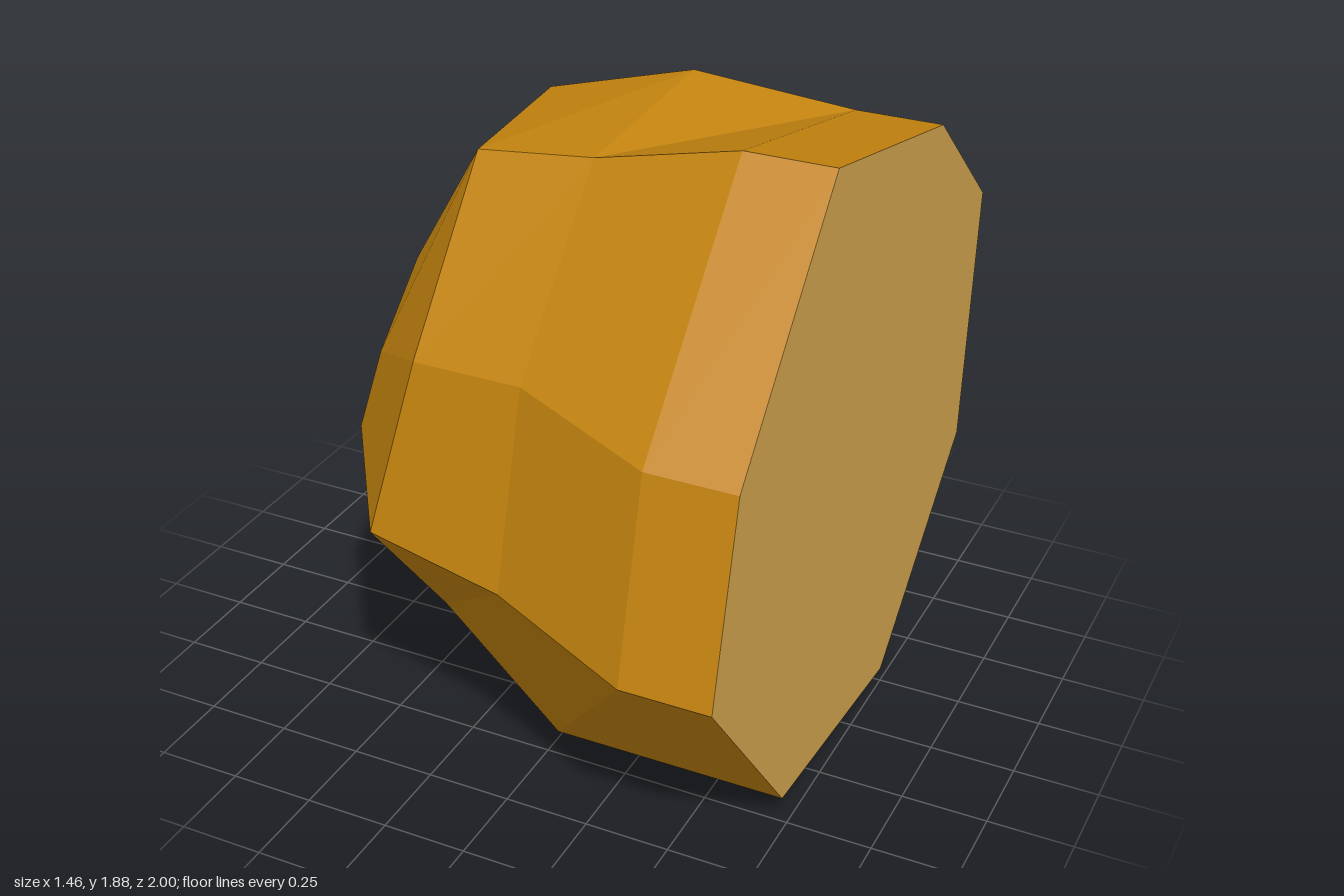
import * as THREE from 'three';

// Cross-sections from the flat cut face to the rounded end.
// Each outline is eight [z, y] points running top, front, bottom, back.
const cutOutline = [[0.28, 1.88], [0.86, 1.25], [1, 0.69], [0.49, 0.07], [-0.31, 0], [-0.93, 0.52], [-1, 1.32], [-0.55, 1.7]];
const innerOutline = cutOutline.map(([z, y], i) => (i === 4 ? [z, 0.06] : [z, y]));
const middleOutline = [[0.235, 1.765], [0.67, 1.29], [0.82, 0.74], [0.49, 0.07], [-0.31, 0], [-0.93, 0.52], [-1, 1.32], [-0.4, 1.8]];
const shoulderOutline = [[0.22, 1.72], [0.62, 1.26], [0.74, 0.77], [0.36, 0.31], [-0.24, 0.26], [-0.67, 0.65], [-0.74, 1.23], [-0.36, 1.69]];
const tipOutline = [[0.12, 1.3], [0.34, 1.1], [0.39, 0.87], [0.19, 0.63], [-0.11, 0.6], [-0.37, 0.81], [-0.4, 1.13], [-0.2, 1.37]];

// x is one number for a flat section, or one per point for an uneven one
const section = (outline, x) =>
  outline.map(([z, y], i) => new THREE.Vector3(Array.isArray(x) ? x[i] : x, y, z));

const sections = [
  section(cutOutline, 0.73),
  section(innerOutline, 0.47),
  section(middleOutline, 0.03),
  section(shoulderOutline, [-0.33, -0.32, -0.41, -0.41, -0.41, -0.41, -0.41, -0.41]),
  section(tipOutline, [-0.6, -0.6, -0.65, -0.73, -0.73, -0.73, -0.73, -0.65]),
];

// Triangle fan around the first point
function fan(points) {
  const out = [];
  for (let i = 1; i < points.length - 1; i++) out.push(points[0], points[i], points[i + 1]);
  return out;
}

// Unshared corners give faceted normals
function facetedMesh(name, points, material) {
  const geometry = new THREE.BufferGeometry().setFromPoints(points);
  geometry.computeVertexNormals();
  const mesh = new THREE.Mesh(geometry, material);
  mesh.name = name;
  return mesh;
}

export function createModel() {
  const amber = new THREE.MeshStandardMaterial({ color: 0xc4840f, flatShading: true });
  amber.name = 'amber';
  const paleTan = new THREE.MeshStandardMaterial({ color: 0xd2a44e, flatShading: true });
  paleTan.name = 'pale tan';

  // Faceted outer skin, lofted between neighbouring sections
  const skin = [];
  for (let r = 0; r < sections.length - 1; r++) {
    const a = sections[r], b = sections[r + 1];
    for (let i = 0; i < 8; i++) {
      const j = (i + 1) % 8;
      skin.push(a[i], b[i], b[j], a[i], b[j], a[j]);
    }
  }

  // Blunt end, fanned from its back upper corner
  const tip = sections[4];
  const tipLoop = Array.from({ length: 8 }, (_, k) => tip[(6 - k + 8) % 8]);

  const model = new THREE.Group();
  model.name = 'cutChunk';
  model.add(
    facetedMesh('outerSkin', skin, amber),
    facetedMesh('bluntEnd', fan(tipLoop), amber),
    facetedMesh('cutFace', fan(sections[0]), paleTan),
  );
  return model;
}
